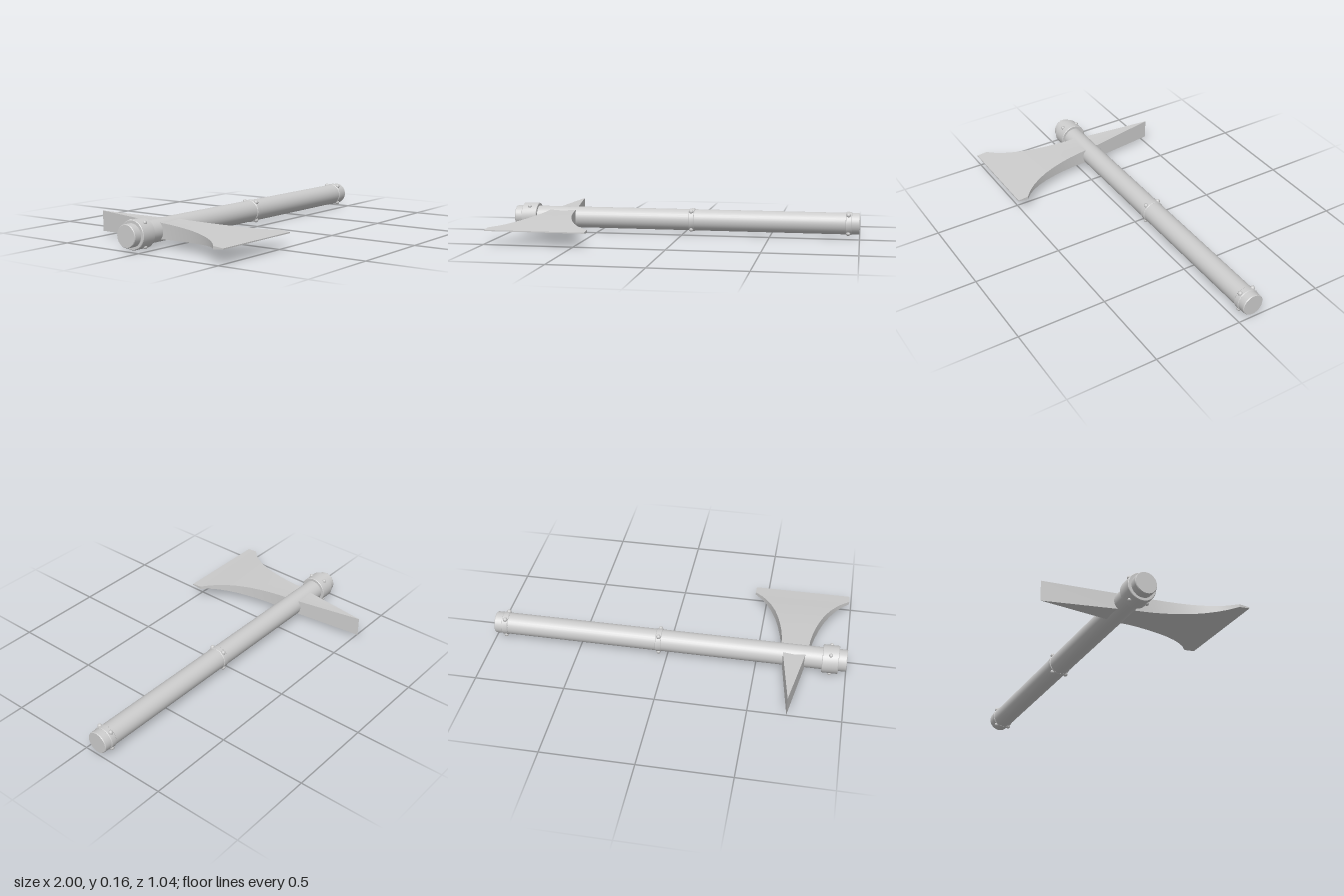
import * as THREE from 'three';
import { toCreasedNormals } from 'three/addons/utils/BufferGeometryUtils.js';

const AXIS_Y = 0.081, AXIS_Z = -0.083, HEAD_X = -0.71;

// Loft of six-sided sections [z, halfWidth, halfThickness, halfThicknessAtMiddle], z increasing
function loft(sections) {
  const pos = [];
  const rings = sections.map(([z, w, t, m]) => [
    [w, -t, z], [w, t, z], [0, m, z], [-w, t, z], [-w, -t, z], [0, -m, z],
  ]);
  const tri = (a, b, c) => pos.push(...a, ...b, ...c);
  for (let k = 0; k < rings.length - 1; k++) {
    const lo = rings[k], hi = rings[k + 1];
    for (let i = 0; i < 6; i++) {
      const j = (i + 1) % 6;
      tri(lo[i], lo[j], hi[j]);
      tri(lo[i], hi[j], hi[i]);
    }
  }
  const first = rings[0], last = rings[rings.length - 1];
  for (let i = 1; i < 5; i++) {
    tri(last[0], last[i], last[i + 1]);
    tri(first[0], first[i + 1], first[i]);
  }
  const geo = new THREE.BufferGeometry();
  geo.setAttribute('position', new THREE.Float32BufferAttribute(pos, 3));
  geo.computeVertexNormals();
  return toCreasedNormals(geo, 0.45);
}

export function createModel() {
  const group = new THREE.Group();
  const material = new THREE.MeshStandardMaterial({ color: 0xcccccc });
  const add = (name, geo, x, y, z) => {
    const mesh = new THREE.Mesh(geo, material);
    mesh.name = name;
    mesh.position.set(x, y, z);
    group.add(mesh);
    return mesh;
  };

  // Solid turned around the handle axis from [radius, x] points
  const turned = (name, points) => {
    const geo = new THREE.LatheGeometry(points.map(([r, x]) => new THREE.Vector2(r, x)), 32);
    geo.rotateZ(-Math.PI / 2);
    return add(name, toCreasedNormals(geo, 0.5), 0, AXIS_Y, AXIS_Z);
  };

  // Handle with slightly bevelled ends
  turned('handle', [
    [0, -1], [0.058, -1], [0.061, -0.996], [0.061, 0.996], [0.058, 1], [0, 1],
  ]);

  // Bands: [name, start, end, radius, rivet x, rivet radius]
  const bands = [
    ['collar', -0.955, -0.865, 0.078, -0.91, 0.011],
    ['middleBand', 0.032, 0.065, 0.0645, 0.048, 0.013],
    ['endBand', 0.922, 0.957, 0.0645, 0.937, 0.013],
  ];
  for (const [name, x0, x1, r, rivetX, rivetR] of bands) {
    turned(name, [
      [0.05, x0], [r - 0.003, x0], [r, x0 + 0.003], [r, x1 - 0.003], [r - 0.003, x1], [0.05, x1],
    ]);
    // Four rivets, mirrored above and below, front and back
    for (const sy of [-1, 1]) for (const sz of [-1, 1]) {
      const a = 0.92;
      add(name + 'Rivet', new THREE.SphereGeometry(rivetR, 12, 8),
        rivetX, AXIS_Y + sy * r * Math.sin(a), AXIS_Z + sz * r * Math.cos(a));
    }
  }

  // Flaring axe blade, thinning towards the cutting edge
  add('blade', loft([
    [-0.08, 0.075, 0.046, 0.041],
    [0.0, 0.079, 0.041, 0.038],
    [0.07, 0.088, 0.038, 0.036],
    [0.13, 0.1, 0.035, 0.034],
    [0.2, 0.118, 0.031, 0.031],
    [0.27, 0.142, 0.026, 0.026],
    [0.33, 0.17, 0.021, 0.021],
    [0.38, 0.201, 0.016, 0.016],
    [0.42, 0.233, 0.012, 0.012],
    [0.46, 0.277, 0.008, 0.008],
    [0.52, 0.277, 0.003, 0.003],
  ]), HEAD_X, AXIS_Y + 0.002, 0);

  // Back spike: narrows to a vertical edge while growing taller
  add('spike', loft([
    [-0.52, 0.0, 0.056, 0.056],
    [-0.12, 0.063, 0.044, 0.04],
    [-0.08, 0.069, 0.043, 0.039],
  ]), HEAD_X, AXIS_Y, 0);

  return group;
}
